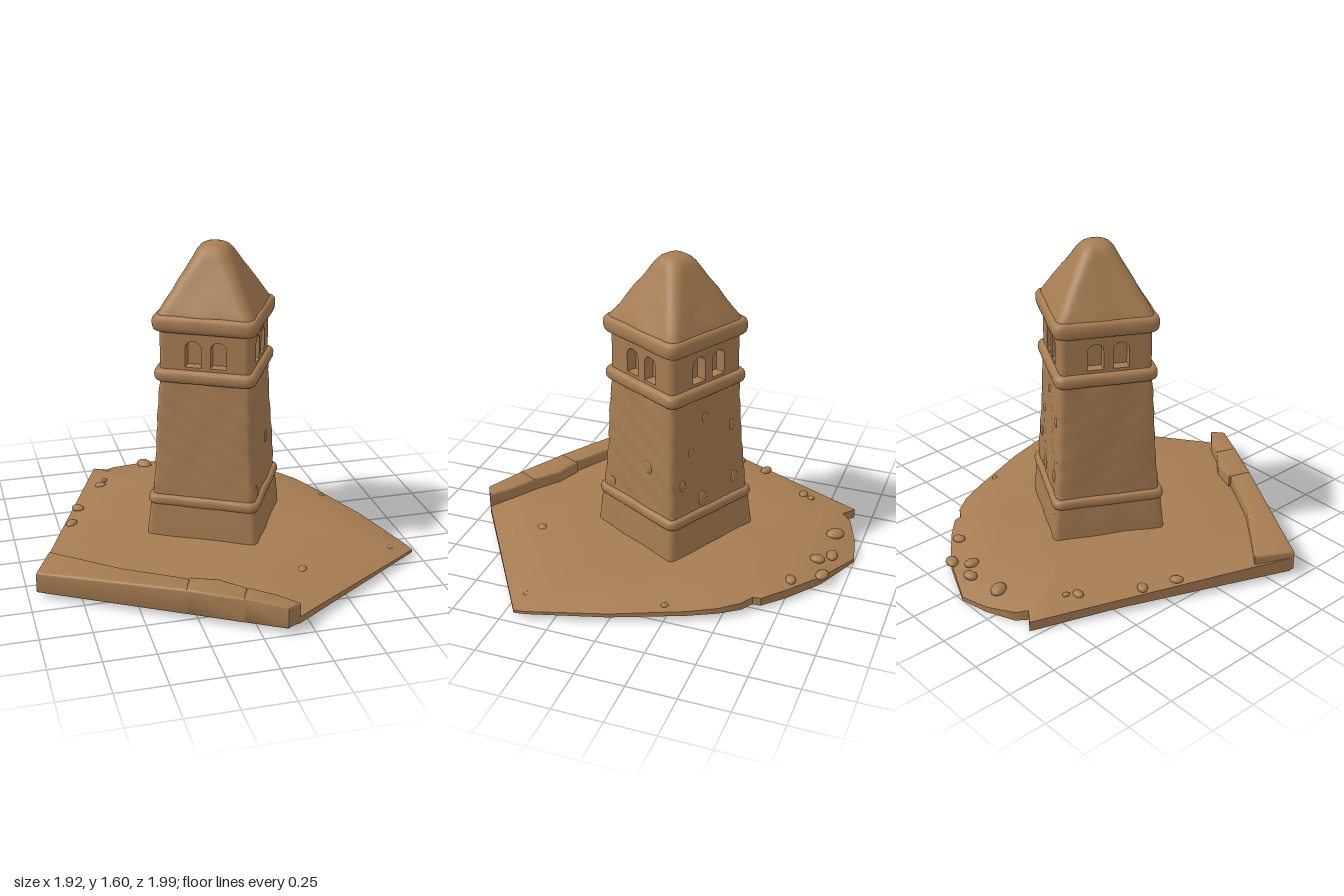
import * as THREE from 'three';
import { toCreasedNormals } from 'three/addons/utils/BufferGeometryUtils.js';

const clay = new THREE.MeshStandardMaterial({ color: 0xa67c52 });
clay.name = 'clay brown';

function add(parent, name, geometry) {
  const mesh = new THREE.Mesh(geometry, clay);
  mesh.name = name;
  parent.add(mesh);
  return mesh;
}

// Skins equal-length rings of points, ordered from the top down
function skin(rings) {
  const n = rings[0].length;
  const index = [];
  for (let r = 0; r < rings.length - 1; r++) {
    for (let i = 0; i < n; i++) {
      const a = r * n + i, d = r * n + (i + 1) % n;
      index.push(a, a + n, d + n, a, d + n, d);
    }
  }
  const g = new THREE.BufferGeometry();
  g.setAttribute('position', new THREE.Float32BufferAttribute(rings.flat(2), 3));
  g.setIndex(index);
  return toCreasedNormals(g, 0.65);
}

// Rounded square ring: half width h, corner radius r, with slight weathering
function squareRing(y, h, r, rough = 0) {
  const pts = [];
  const k = h - r;
  const put = (x, z) => {
    const f = 1 + rough * (Math.sin(x * 27 + y * 19) * Math.sin(z * 23 - y * 31 + 1));
    pts.push([x * f, y, z * f]);
  };
  for (let c = 0; c < 4; c++) {
    const mid = Math.PI / 4 + c * Math.PI / 2;
    const cx = Math.sign(Math.cos(mid)) * k, cz = -Math.sign(Math.sin(mid)) * k;
    for (let i = 0; i <= 6; i++) {
      const a = c * Math.PI / 2 + i * Math.PI / 12;
      put(cx + r * Math.cos(a), cz - r * Math.sin(a));
    }
    // Points along the flat side to the next corner
    const e = (c + 1) * Math.PI / 2;
    const nx = Math.cos(e), nz = -Math.sin(e);
    for (let i = 1; i < 8; i++) {
      const t = k * (1 - i / 4);
      put(nx * h - nz * t, nz * h + nx * t);
    }
  }
  return pts;
}

// Solid from a profile of [y, half width, corner radius], bottom to top
function squareLoft(profile, rough = 0) {
  const rings = [...profile].reverse().map(([y, h, r]) => squareRing(y, h, r, rough));
  const cap = y => rings[0].map(() => [0, y, 0]);
  return skin([cap(profile.at(-1)[0]), ...rings, cap(profile[0][0])]);
}

// Half-round moulding running round the tower
function collar(y0, y1, h, depth) {
  const profile = [];
  for (let i = 0; i <= 10; i++) {
    const a = -Math.PI / 2 + Math.PI * i / 10;
    const s = Math.sign(Math.sin(a)) * Math.abs(Math.sin(a)) ** 0.8;
    const c = Math.max(0, Math.cos(a)) ** 0.7;
    profile.push([(y0 + y1) / 2 + s * (y1 - y0) / 2, h - depth * (1 - c), 0.045]);
  }
  return squareLoft(profile, 0.006);
}

// Arched window outline
function archHole(x, y0, y1, w) {
  const p = new THREE.Path();
  p.moveTo(x - w / 2, y0);
  p.lineTo(x + w / 2, y0);
  p.lineTo(x + w / 2, y1 - w / 2);
  p.absarc(x, y1 - w / 2, w / 2, 0, Math.PI, false);
  p.lineTo(x - w / 2, y0);
  return p;
}

function createTower() {
  const tower = new THREE.Group();
  tower.name = 'tower';
  add(tower, 'base', squareLoft([[0.05, 0.29, 0.03], [0.15, 0.286, 0.03], [0.22, 0.28, 0.03], [0.3, 0.272, 0.03]], 0.01));
  add(tower, 'baseCollar', collar(0.28, 0.335, 0.286, 0.025));

  const shaft = [];
  for (let i = 0; i <= 20; i++) shaft.push([0.32 + 0.031 * i, 0.264 - 0.0016 * i, 0.03]);
  add(tower, 'shaft', squareLoft(shaft, 0.014));
  add(tower, 'upperCollar', collar(0.935, 1.005, 0.258, 0.035));

  // Belfry: inner core, four pierced walls and rounded corners
  const belfry = new THREE.Group();
  belfry.name = 'belfry';
  tower.add(belfry);
  const h = 0.23, r = 0.03, deep = 0.055, y0 = 0.98, y1 = 1.23;
  const core = add(belfry, 'belfryCore', new THREE.BoxGeometry(2 * (h - deep), y1 - y0, 2 * (h - deep)));
  core.position.y = (y0 + y1) / 2;
  const wall = new THREE.Shape();
  wall.moveTo(r - h, y0);
  wall.lineTo(h - r, y0);
  wall.lineTo(h - r, y1);
  wall.lineTo(r - h, y1);
  wall.closePath();
  wall.holes.push(archHole(-0.055, 1.02, 1.155, 0.08), archHole(0.072, 1.02, 1.155, 0.08));
  for (let i = 0; i < 4; i++) {
    const side = new THREE.Group();
    side.name = 'belfrySide';
    side.rotation.y = i * Math.PI / 2;
    const g = new THREE.ExtrudeGeometry(wall, { depth: deep, bevelEnabled: false, curveSegments: 10 });
    add(side, 'windowWall', toCreasedNormals(g, 0.65)).position.z = h - deep;
    add(side, 'belfryCorner', new THREE.CylinderGeometry(r, r, y1 - y0, 20)).position.set(h - r, (y0 + y1) / 2, h - r);
    belfry.add(side);
  }

  // Eaves and blunt pyramid roof
  add(tower, 'eaves', collar(1.195, 1.28, 0.263, 0.03));
  add(tower, 'roof', squareLoft([
    [1.25, 0.25, 0.05], [1.285, 0.238, 0.05], [1.33, 0.212, 0.05], [1.38, 0.185, 0.05],
    [1.43, 0.158, 0.05], [1.48, 0.13, 0.055], [1.53, 0.104, 0.06], [1.56, 0.088, 0.06],
    [1.582, 0.07, 0.055], [1.595, 0.048, 0.042], [1.601, 0.024, 0.022]], 0.02));

  // Worn lumps on the rear and right faces: [along face, y, size]
  const lumps = [[-0.17, 0.42, 0.03], [0.05, 0.38, 0.035], [0.18, 0.5, 0.025], [-0.08, 0.56, 0.03],
    [0.12, 0.66, 0.025], [-0.16, 0.72, 0.025], [0.02, 0.82, 0.022], [0.19, 0.36, 0.03]];
  lumps.forEach(([t, y, s], i) => {
    const lump = add(tower, 'wornLump', new THREE.SphereGeometry(s, 12, 8));
    const d = 0.262 - (y - 0.32) * 0.052;
    if (i % 4 === 3) {
      lump.position.set(d, y, t);
      lump.scale.set(0.25, 1.2, 0.8);
    } else {
      lump.position.set(t, y, -d);
      lump.scale.set(0.8, 1.2, 0.35);
    }
  });
  tower.position.set(0.042, 0, -0.057);
  tower.rotation.y = -0.49;
  return tower;
}

function createGround() {
  // Outline as [x, z, edge height]
  const outline = [[-0.955, 0.355, 0.1], [0.115, 0.972, 0.06], [0.19, 0.95, 0.06], [0.96, 0.44, 0.04],
    [0.95, 0.38, 0.04], [0.84, 0, 0.045], [0.7, -0.35, 0.05], [0.63, -0.49, 0.055], [0.56, -0.58, 0.06],
    [0.495, -0.62, 0.06], [0.49, -0.66, 0.06], [0.38, -0.76, 0.06], [0.2, -0.89, 0.05], [-0.05, -1, 0.02],
    [-0.2, -0.97, 0.03], [-0.35, -0.91, 0.05], [-0.39, -0.86, 0.06], [-0.46, -0.91, 0.055]];
  const edge = [];
  outline.forEach((p, i) => {
    const q = outline[(i + 1) % outline.length];
    const steps = Math.ceil(Math.hypot(q[0] - p[0], q[1] - p[1]) / 0.08);
    for (let k = 0; k < steps; k++) edge.push(p.map((v, j) => v + (q[j] - v) * k / steps));
  });
  const cx = 0.04, cz = -0.06, rings = [];
  for (let r = 0; r <= 14; r++) {
    const s = r / 14;
    rings.push(edge.map(([x, z, h]) => {
      const px = cx + (x - cx) * s, pz = cz + (z - cz) * s;
      const ripple = 0.006 * Math.sin(px * 11 + 1) * Math.sin(pz * 13) * (1 - s);
      return [px, h + (0.116 - h) * (1 - s ** 4) + ripple, pz];
    }));
  }
  const under = z => 0.025 * Math.min(1, (z + 1) / 0.5);
  rings.push(edge.map(([x, z]) => [x, under(z), z]), edge.map(() => [cx, 0.025, cz]));
  return skin(rings);
}

// Curb block whose top sinks gently towards both ends of the curb
function curbGeometry(pts) {
  const shape = new THREE.Shape(pts.map(([x, z]) => new THREE.Vector2(x, -z)));
  const g = new THREE.ExtrudeGeometry(shape, {
    depth: 0.11, bevelSize: 0.012, bevelThickness: 0.012, bevelOffset: -0.012, bevelSegments: 3 });
  g.rotateX(-Math.PI / 2).translate(0, 0.037, 0);
  const p = g.attributes.position;
  for (let i = 0; i < p.count; i++) {
    const x = p.getX(i) + 0.25;
    if (p.getY(i) > 0.09) p.setY(i, p.getY(i) - (x > 0 ? 0.12 : 0.045) * x * x);
  }
  return toCreasedNormals(g, 0.8);
}

export function createModel() {
  const model = new THREE.Group();
  model.name = 'towerOnGround';
  add(model, 'ground', createGround());
  model.add(createTower());

  // Low stone curb along the front left edge, in three blocks
  const blocks = [
    [[-0.96, 0.37], [-0.3, 0.749], [-0.265, 0.64], [-0.55, 0.46], [-0.87, 0.18]],
    [[-0.308, 0.744], [-0.06, 0.887], [-0.02, 0.78], [-0.13, 0.68], [-0.26, 0.63]],
    [[-0.068, 0.882], [0.12, 0.99], [0.19, 0.95], [0.1, 0.86], [-0.02, 0.78]]];
  for (const pts of blocks) add(model, 'curbBlock', curbGeometry(pts));

  // Loose stones: [x, y, z, size]
  const stones = [[-0.47, 0.085, -0.62, 0.032], [-0.44, 0.09, -0.67, 0.02], [-0.64, 0.09, -0.36, 0.035],
    [-0.7, 0.09, -0.19, 0.035], [-0.17, 0.07, -0.87, 0.05], [0.02, 0.065, -0.9, 0.04], [0.09, 0.075, -0.84, 0.04],
    [0.19, 0.055, -0.89, 0.042], [0.32, 0.092, 0.58, 0.03], [0.7, 0.06, -0.24, 0.02], [0.31, 0.075, -0.76, 0.035],
    [0.84, 0.058, 0.42, 0.022]];
  stones.forEach(([x, y, z, s], i) => {
    const stone = add(model, 'looseStone', new THREE.SphereGeometry(s, 10, 8));
    stone.position.set(x, y, z);
    stone.scale.set(1, 0.5, 0.75);
    stone.rotation.y = i * 1.3;
  });
  return model;
}
